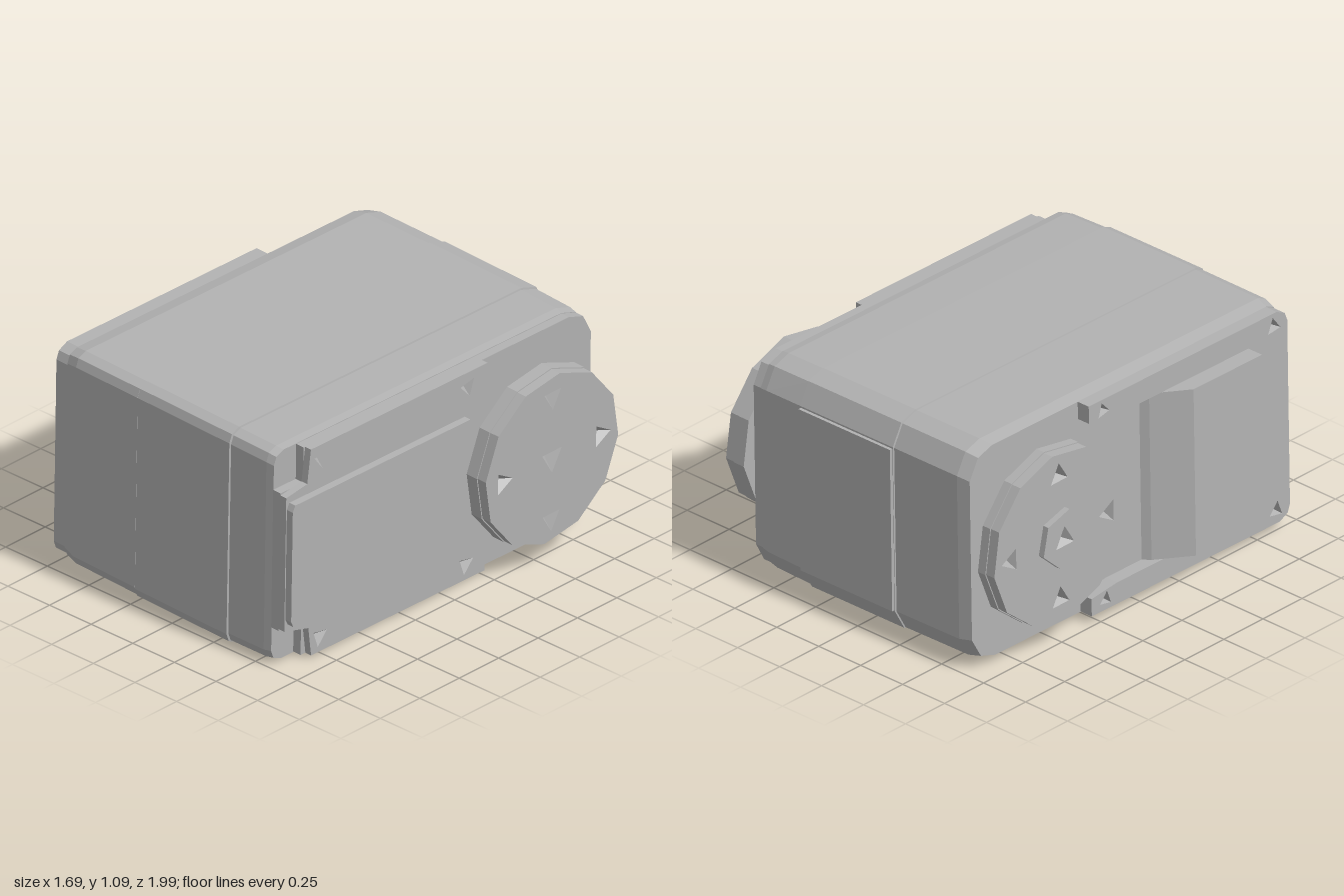
import * as THREE from 'three';

const grey = new THREE.MeshStandardMaterial({ color: 0xb2b2b2, side: THREE.DoubleSide });
grey.name = 'casingGrey';

// Side outline of the casing as [z, y]
const PROFILE = [[-0.83, 1.08], [-0.92, 1.05], [-0.975, 0.95], [-0.975, 0.14], [-0.92, 0.04], [-0.83, 0.01],
  [0.92, 0.01], [0.965, 0.03], [0.98, 0.07], [0.98, 1.02], [0.965, 1.06], [0.92, 1.08]];
const MID_Y = 0.545;

function add(parent, name, geometry) {
  const mesh = new THREE.Mesh(geometry, grey);
  mesh.name = name;
  parent.add(mesh);
  return mesh;
}

// Solid through rings [x, inset] of the casing outline
function loft(rings) {
  const pos = [];
  const loops = rings.map(([x, d]) => PROFILE.map(([z, y]) =>
    [x, MID_Y + (y - MID_Y) * (1 - d / 0.535), z * (1 - d / 0.98)]));
  const n = PROFILE.length;
  for (let i = 0; i < n; i++) {
    const j = (i + 1) % n;
    for (let r = 0; r + 1 < loops.length; r++) {
      const a = loops[r], b = loops[r + 1];
      pos.push(...a[i], ...b[i], ...b[j], ...a[i], ...b[j], ...a[j]);
    }
    const first = loops[0], last = loops[loops.length - 1];
    pos.push(rings[0][0], MID_Y, 0, ...first[i], ...first[j]);
    pos.push(rings[rings.length - 1][0], MID_Y, 0, ...last[j], ...last[i]);
  }
  const g = new THREE.BufferGeometry();
  g.setAttribute('position', new THREE.Float32BufferAttribute(pos, 3));
  g.computeVertexNormals();
  return g;
}

// Flat [z, y] outline extruded from x0 to x1
function slab(points, x0, x1, holes = []) {
  const vec = (pts) => pts.map(([z, y]) => new THREE.Vector2(-z, y));
  const shape = new THREE.Shape(vec(points));
  holes.forEach((h) => shape.holes.push(new THREE.Path(vec(h))));
  const g = new THREE.ExtrudeGeometry(shape, { depth: x1 - x0, bevelEnabled: false });
  return g.rotateY(Math.PI / 2).translate(x0, 0, 0);
}

function polygon(z, y, r, sides, start = 0, side = 1) {
  return Array.from({ length: sides }, (_, k) => {
    const a = start + (k * Math.PI * 2) / sides;
    return [z + r * Math.cos(a), y + side * r * Math.sin(a)];
  });
}

// Plate with three-sided screw pits; pits are [z, y, radius, angle]
function pittedPlate(parent, name, points, side, inner, outer, pits) {
  const holes = pits.map(([z, y, r, a]) => polygon(z, y, r, 3, a, side));
  add(parent, name, slab(points, Math.min(inner, outer), Math.max(inner, outer), holes));
  const depth = Math.abs(outer - inner);
  pits.forEach(([z, y, r, a]) => {
    const cone = new THREE.ConeGeometry(r, depth, 3, 1, true, a).toNonIndexed();
    cone.computeVertexNormals();
    cone.rotateZ((side * Math.PI) / 2);
    add(parent, 'screwPit', cone).position.set((inner + outer) / 2, y, z);
  });
}

// Twelve-sided output wheel on an axle
function wheel(parent, side, base, inner, outer, centrePit) {
  const z = -0.535, y = MID_Y, group = new THREE.Group();
  group.name = side > 0 ? 'leftWheel' : 'rightWheel';
  const split = outer - side * 0.05;
  const pits = [0, 1, 2, 3].map((k) => {
    const a = (k * Math.PI) / 2;
    return [z + 0.305 * Math.cos(a), y + 0.305 * Math.sin(a), 0.06, k % 2 ? 0.5 : Math.PI];
  });
  if (centrePit) pits.push([z, y, 0.07, 2.6]);
  pittedPlate(group, 'wheelFace', polygon(z, y, 0.415, 12, 0.1), side, split, outer, pits);
  add(group, 'wheelBack', slab(polygon(z, y, 0.42, 12, 0.1), Math.min(inner, split), Math.max(inner, split)));
  add(group, 'axle', slab(polygon(z, y, 0.23, 8, 0.2), Math.min(base, inner), Math.max(base, inner)));
  parent.add(group);
  return { group, z, y };
}

export function createModel() {
  const model = new THREE.Group();
  model.name = 'servoMotor';
  const tilt = new THREE.Group();
  tilt.name = 'tiltedServo';
  tilt.position.y = MID_Y;
  tilt.rotation.set(0, -0.018, -0.018);
  model.add(tilt);
  const body = new THREE.Group();
  body.name = 'servoBody';
  body.position.y = -MID_Y;
  tilt.add(body);

  // Three casing sections separated by narrow seams
  add(body, 'rightCasing', loft([[-0.665, 0.015], [-0.6, 0.002], [-0.222, 0], [-0.218, 0.01]]));
  add(body, 'middleCasing', loft([[-0.22, 0.01], [-0.217, -0.004], [0.343, -0.004], [0.346, 0.01]]));
  add(body, 'leftCasing', loft([[0.344, 0.01], [0.348, 0.002], [0.56, 0.006], [0.6, 0.012]]));
  add(body, 'backBand', new THREE.BoxGeometry(0.555, 0.8, 0.03)).position.set(0.063, MID_Y, -0.98);

  // Left end: base plate with notched front corners
  add(body, 'leftEndPlate', slab([[-0.82, 1.065], [-0.91, 1.035], [-0.96, 0.94], [-0.96, 0.15], [-0.91, 0.055],
    [-0.82, 0.025], [0.83, 0.025], [0.83, 0.17], [0.97, 0.2], [0.97, 0.89], [0.83, 0.89], [0.83, 1.065]], 0.6, 0.645));

  // Left cover cut round the wheel, with its screws
  const arc = [[-0.28, 0.12], [-0.14, 0.24], [-0.055, 0.4], [-0.035, 0.545], [-0.055, 0.69], [-0.14, 0.85], [-0.28, 0.97]];
  pittedPlate(body, 'leftCover', [...arc, [-0.28, 1.065], [0.82, 1.065], [0.84, 0.9], [0.97, 0.88], [0.97, 0.21],
    [0.82, 0.17], [0.8, 0.025], [-0.28, 0.025]], 1, 0.645, 0.68,
  [[0.75, 0.99, 0.05, 0.4], [-0.16, 0.99, 0.05, 2.4], [0.75, 0.1, 0.05, 0.7], [-0.16, 0.1, 0.05, 2.8]]);

  // Raised flat panel in front of the left wheel
  add(body, 'leftPanel', slab([[-0.14, 0.24], ...arc.slice(2, 5), [-0.14, 0.85], [0.95, 0.85], [0.965, 0.82],
    [0.965, 0.27], [0.95, 0.24]], 0.68, 0.716));

  // Right cover: a frame open towards the wheel
  pittedPlate(body, 'rightCover', [[-0.28, 1.065], [0.9, 1.065], [0.95, 1.04], [0.965, 1], [0.965, 0.09], [0.95, 0.05],
    [0.9, 0.025], [-0.28, 0.025], [-0.28, 0.11], [-0.12, 0.13], [0.72, 0.13], [0.72, 0.955], [-0.12, 0.955], [-0.28, 0.98]],
  -1, -0.665, -0.732,
  [[0.88, 1, 0.045, 0.4], [-0.19, 1.01, 0.04, 2.4], [0.88, 0.09, 0.045, 0.7], [-0.19, 0.075, 0.04, 2.8]]);

  // Connector block with a sloped rear face, drawn as [x, z] and raised in y
  const plan = [[-0.66, 0.1], [-0.7, 0.13], [-0.815, 0.29], [-0.815, 0.72], [-0.66, 0.72]];
  const block = new THREE.ExtrudeGeometry(new THREE.Shape(plan.map(([x, z]) => new THREE.Vector2(x, -z))),
    { depth: 0.825, bevelEnabled: false });
  add(body, 'connectorBlock', block.rotateX(-Math.PI / 2)).position.y = 0.13;

  // Output wheels, with a raised hub on the right one
  wheel(body, 1, 0.64, 0.72, 0.832, true);
  const { group, z, y } = wheel(body, -1, -0.66, -0.7, -0.795, false);
  pittedPlate(group, 'wheelHub', polygon(z, y, 0.14, 6, 0.3), -1, -0.795, -0.825, [[z, y, 0.065, 0.5]]);

  return model;
}
